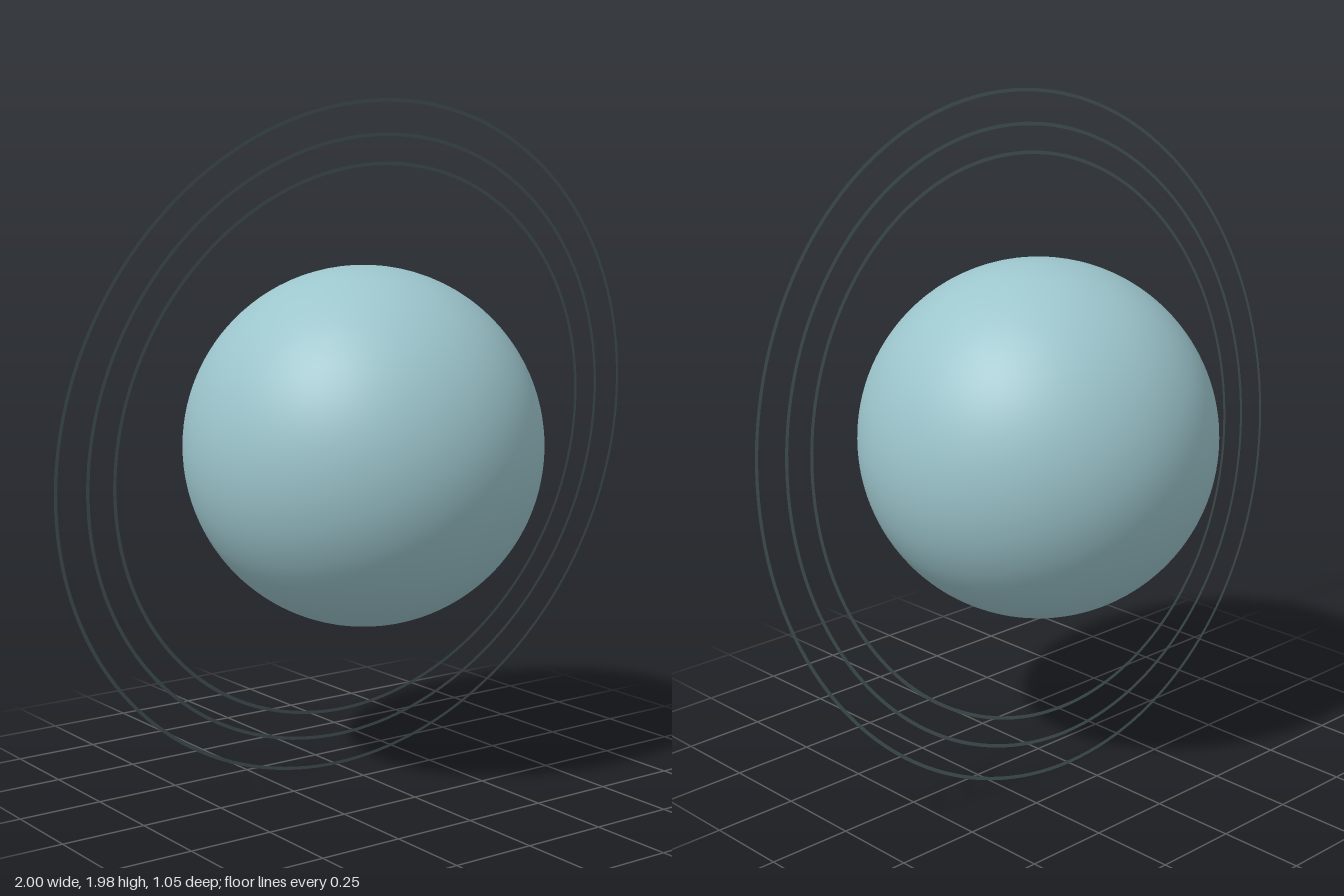
import * as THREE from 'three';

export function createModel() {
  const paleTeal = new THREE.MeshStandardMaterial({ color: 0x9cc5cc });
  paleTeal.name = 'pale teal';
  const darkSlate = new THREE.MeshStandardMaterial({ color: 0x4a5a5c, side: THREE.DoubleSide });
  darkSlate.name = 'dark slate';

  const tilt = THREE.MathUtils.degToRad(7.77);
  const model = new THREE.Group();
  model.name = 'ringedPlanet';

  // Planet and rings share one tilted axis; the outer ring just touches y = 0
  const system = new THREE.Group();
  system.name = 'tiltedSystem';
  system.position.y = Math.cos(tilt);
  system.rotation.x = tilt;
  model.add(system);

  // Smooth globe with its poles along the ring axis
  const globe = new THREE.Mesh(new THREE.SphereGeometry(0.523, 96, 64).rotateX(Math.PI / 2), paleTeal);
  globe.name = 'globe';
  system.add(globe);

  // Three flat, hair-thin rings
  const rings = { innerRing: 0.824, middleRing: 0.905, outerRing: 1.0 };
  for (const [name, radius] of Object.entries(rings)) {
    const ring = new THREE.Mesh(new THREE.RingGeometry(radius - 0.01, radius, 160), darkSlate);
    ring.name = name;
    system.add(ring);
  }
  return model;
}
